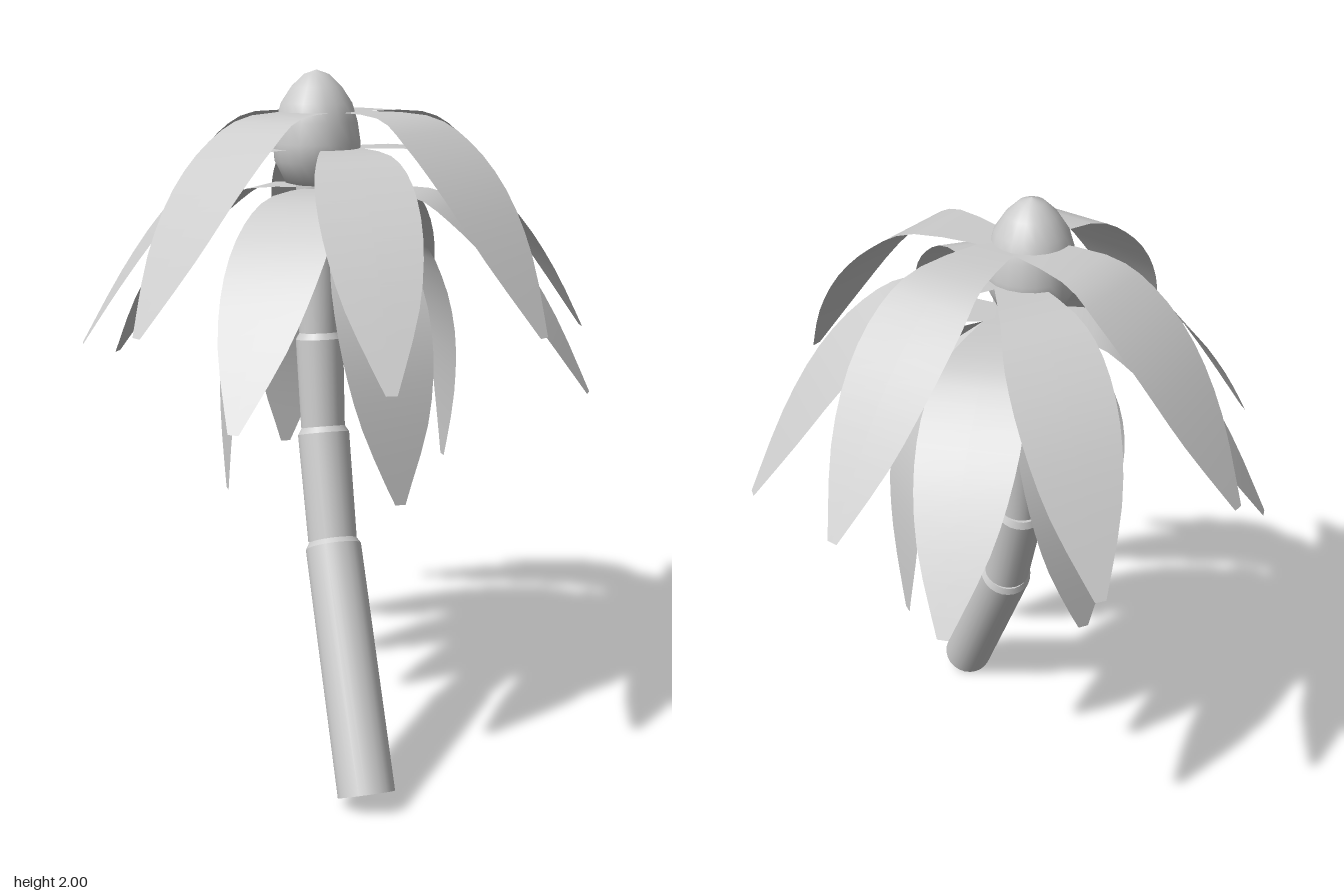
import * as THREE from 'three';

const trunkMaterial = new THREE.MeshStandardMaterial({ color: 0xcccccc });
const leafMaterial = new THREE.MeshStandardMaterial({ color: 0xcccccc, side: THREE.DoubleSide });
const V2 = (x, y) => new THREE.Vector2(x, y);

// Drooping midrib (distance out, height) and half width along it
const midrib = new THREE.SplineCurve([
  V2(0, 0), V2(0.24, -0.005), V2(0.37, -0.07), V2(0.5, -0.19), V2(0.62, -0.35), V2(0.74, -0.54),
]);
const halfWidth = new THREE.SplineCurve([
  V2(0, 0.045), V2(0.2, 0.1), V2(0.4, 0.13), V2(0.6, 0.13), V2(0.8, 0.095), V2(1, 0.015),
]);

// A leaf is a sheet bent along the midrib; drift leans it sideways
function leafGeometry(drift) {
  const geo = new THREE.PlaneGeometry(1, 1, 2, 15);
  const pos = geo.attributes.position;
  const uv = geo.attributes.uv;
  for (let i = 0; i < pos.count; i++) {
    const t = uv.getY(i);
    const spine = midrib.getPoint(t);
    const side = (0.5 - uv.getX(i)) * 2 * halfWidth.getPoint(t).y;
    pos.setXYZ(i, side + drift * t, spine.y, spine.x);
  }
  geo.computeVertexNormals();
  return geo;
}

// Trunk segment from a to b with a small bevel at its top rim
function trunkSegment(a, b, r0, r1) {
  const dir = b.clone().sub(a);
  const len = dir.length();
  const rings = [[0, 0], [r0, 0], [r0, 0], [r1, len - 0.02], [r1, len - 0.02], [r1 - 0.012, len], [r1 - 0.012, len], [0, len]];
  const mesh = new THREE.Mesh(
    new THREE.LatheGeometry(rings.map(([x, y]) => V2(x, y)), 24), trunkMaterial);
  mesh.position.copy(a);
  mesh.quaternion.setFromUnitVectors(new THREE.Vector3(0, 1, 0), dir.normalize());
  mesh.name = 'trunkSegment';
  return mesh;
}

export function createModel() {
  const model = new THREE.Group();
  model.name = 'palmTree';
  const axisX = -0.065;

  // Leaning trunk: [height, z, bottom radius, top radius]
  const trunk = new THREE.Group();
  trunk.name = 'trunk';
  const joints = [
    [0.04, 0.525, 0.081, 0.081],
    [0.67, 0.165, 0.071, 0.075],
    [0.985, 0.06, 0.064, 0.069],
    [1.26, 0.02, 0.058, 0.06],
    [1.72, 0, 0, 0],
  ];
  for (let i = 0; i < joints.length - 1; i++) {
    const [y, z, r0, r1] = joints[i];
    const [y2, z2] = joints[i + 1];
    trunk.add(trunkSegment(
      new THREE.Vector3(axisX, y, z), new THREE.Vector3(axisX, y2, z2), r0, r1));
  }
  model.add(trunk);

  // Rounded bud on top of the trunk
  const bud = new THREE.Mesh(new THREE.LatheGeometry([
    V2(0, 1.67), V2(0.09, 1.69), V2(0.12, 1.75), V2(0.124, 1.8), V2(0.115, 1.86),
    V2(0.1, 1.91), V2(0.07, 1.955), V2(0.035, 1.988), V2(0, 2),
  ], 20), trunkMaterial);
  bud.position.x = axisX;
  bud.name = 'bud';
  model.add(bud);

  // Four whorls of four leaves each
  const whorls = [
    { name: 'topLeaf', y: 1.885, yaw: 30, pitch: 0, drift: 0 },
    { name: 'middleLeaf', y: 1.785, yaw: -5.4, pitch: 0, drift: 0 },
    { name: 'lowerLeaf', y: 1.675, yaw: -36.3, pitch: 0, drift: 0 },
    { name: 'hangingLeaf', y: 1.67, yaw: 0, pitch: 31, drift: 0.08 },
  ];
  const rad = THREE.MathUtils.degToRad;
  for (const { name, y, yaw, pitch, drift } of whorls) {
    const geo = leafGeometry(drift);
    for (let k = 0; k < 4; k++) {
      const leaf = new THREE.Mesh(geo, leafMaterial);
      leaf.name = name;
      leaf.rotation.order = 'YXZ';
      leaf.rotation.set(rad(pitch), rad(yaw + 90 * k), 0);
      leaf.position.y = y;
      model.add(leaf);
    }
  }
  return model;
}
